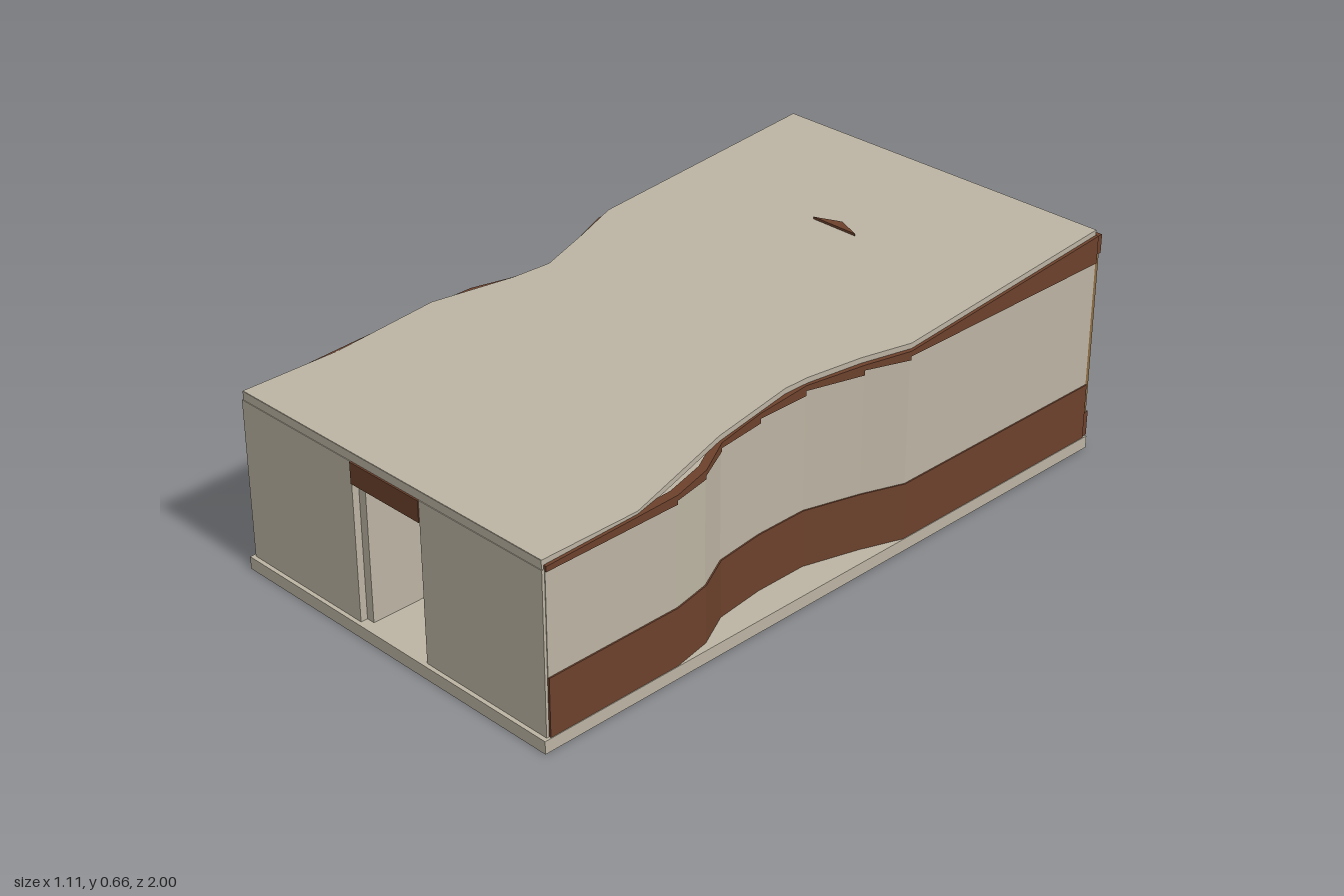
import * as THREE from 'three';

const mat = (name, color) => {
  const m = new THREE.MeshStandardMaterial({ color });
  m.name = name;
  return m;
};

export function createModel() {
  const cream = mat('cream render', 0xbcb4a3);
  const brown = mat('brown cladding', 0x6c412c);
  const glassMat = mat('teal glass', 0x4c6e73);
  const tan = mat('tan timber', 0x8c6c44);
  const model = new THREE.Group();
  model.name = 'pavilion';

  const add = (name, geometry, material) => {
    const mesh = new THREE.Mesh(geometry, material);
    mesh.name = name;
    model.add(mesh);
    return mesh;
  };
  // Box given by its minimum and maximum on each axis
  const box = (name, material, x0, x1, y0, y1, z0, z1) => {
    const g = new THREE.BoxGeometry(x1 - x0, y1 - y0, z1 - z0);
    g.translate((x0 + x1) / 2, (y0 + y1) / 2, (z0 + z1) / 2);
    return add(name, g, material);
  };
  // Prism over an [x, z] outline whose bottom and top heights depend on z
  const prism = (name, material, outline, bottom, top) => {
    const shape = new THREE.Shape(outline.map(([x, z]) => new THREE.Vector2(x, -z)));
    const g = new THREE.ExtrudeGeometry(shape, { depth: 1, bevelEnabled: false });
    g.rotateX(-Math.PI / 2);
    const p = g.attributes.position;
    for (let i = 0; i < p.count; i++) {
      const z = p.getZ(i);
      p.setY(i, p.getY(i) > 0.5 ? top(z) : bottom(z));
    }
    g.computeVertexNormals();
    return add(name, g, material);
  };

  // Roof is level at the front, then climbs to the back
  const kink = 0.69;
  const roofTop = z => 0.515 + Math.max(0, kink - z) * 0.0868;
  const roofUnder = z => roofTop(z) - 0.015;

  // Floor slab
  box('floorSlab', cream, -0.556, 0.556, 0, 0.036, -0.995, 1);

  // Roof: level strip and sloping sheet with waisted sides
  prism('roofFront', cream, [[-0.545, 0.985], [0.545, 0.985], [0.545, kink], [-0.545, kink]], roofUnder, roofTop);
  prism('roofSlope', cream, [
    [-0.545, kink], [0.545, kink], [0.47, 0.35], [0.447, 0.1], [0.455, 0.03], [0.495, -0.12], [0.545, -0.25],
    [0.545, -0.98], [-0.545, -0.98], [-0.545, -0.25], [-0.5, -0.11], [-0.455, 0.05], [-0.475, 0.16], [-0.545, 0.38],
  ], roofUnder, roofTop);
  prism('roofVent', brown, [[-0.075, -0.56], [0.075, -0.56], [0, -0.592]], roofTop, () => 0.63);

  // Curved side walls, each a run of straight panels in three bands
  const walls = {
    leftWall: [[0.55, 0.98], [0.55, 0.57], [0.528, 0.455], [0.475, 0.35], [0.458, 0.2], [0.458, 0.04],
      [0.505, -0.12], [0.55, -0.24], [0.55, -0.98]],
    rightWall: [[-0.55, 0.98], [-0.55, 0.36], [-0.536, 0.25], [-0.495, 0.15], [-0.465, 0.05], [-0.48, -0.02],
      [-0.515, -0.12], [-0.55, -0.22], [-0.55, -0.98]],
  };
  for (const [name, path] of Object.entries(walls)) {
    const s = Math.sign(path[0][0]);
    for (let i = 0; i < path.length - 1; i++) {
      const [a, b] = [path[i], path[i + 1]];
      const outline = out => [
        [a[0] + s * out, a[1]], [b[0] + s * out, b[1]], [b[0] - s * 0.022, b[1]], [a[0] - s * 0.022, a[1]],
      ];
      const bandTop = roofTop(a[1]) - 0.03;
      prism(name + 'Base', brown, outline(0.004), () => 0.036, () => 0.2);
      prism(name + 'Panel', cream, outline(0), () => 0.2, () => bandTop);
      prism(name + 'Top', brown, outline(0.004), () => bandTop, roofUnder);
    }
  }

  // Front wall with doorway
  for (const s of [-1, 1]) {
    box('frontWall', cream, s < 0 ? -0.548 : 0.125, s < 0 ? -0.125 : 0.548, 0.036, 0.49, 0.968, 0.988);
  }
  box('frontFascia', cream, -0.545, 0.545, 0.49, 0.514, 0.968, 0.986);
  box('doorLintel', brown, -0.125, 0.125, 0.43, 0.49, 0.97, 0.991);

  // Entrance passage wall and inner door
  box('passageWall', cream, -0.125, -0.1, 0.036, 0.43, 0.3, 0.968);
  box('innerDoorFrame', cream, -0.1, -0.09, 0.036, 0.41, 0.3, 0.33);
  box('innerDoor', cream, -0.09, 0.05, 0.036, 0.41, 0.3, 0.32);
  box('innerDoorHeader', brown, -0.1, 0.05, 0.41, 0.42, 0.3, 0.33);

  // Glazed back wall
  box('backSill', brown, -0.55, 0.55, 0.036, 0.11, -1, -0.97);
  box('backFascia', brown, -0.55, 0.55, 0.588, 0.642, -1, -0.97);
  box('backHead', brown, -0.545, 0.545, 0.57, 0.588, -0.988, -0.97);
  box('backGlass', glassMat, -0.54, 0.54, 0.11, 0.572, -0.983, -0.975);
  for (const x of [-0.539, 0, 0.539]) {
    box('backMullion', tan, x - 0.01, x + 0.01, 0.11, 0.588, -0.993, -0.968);
  }

  return model;
}
